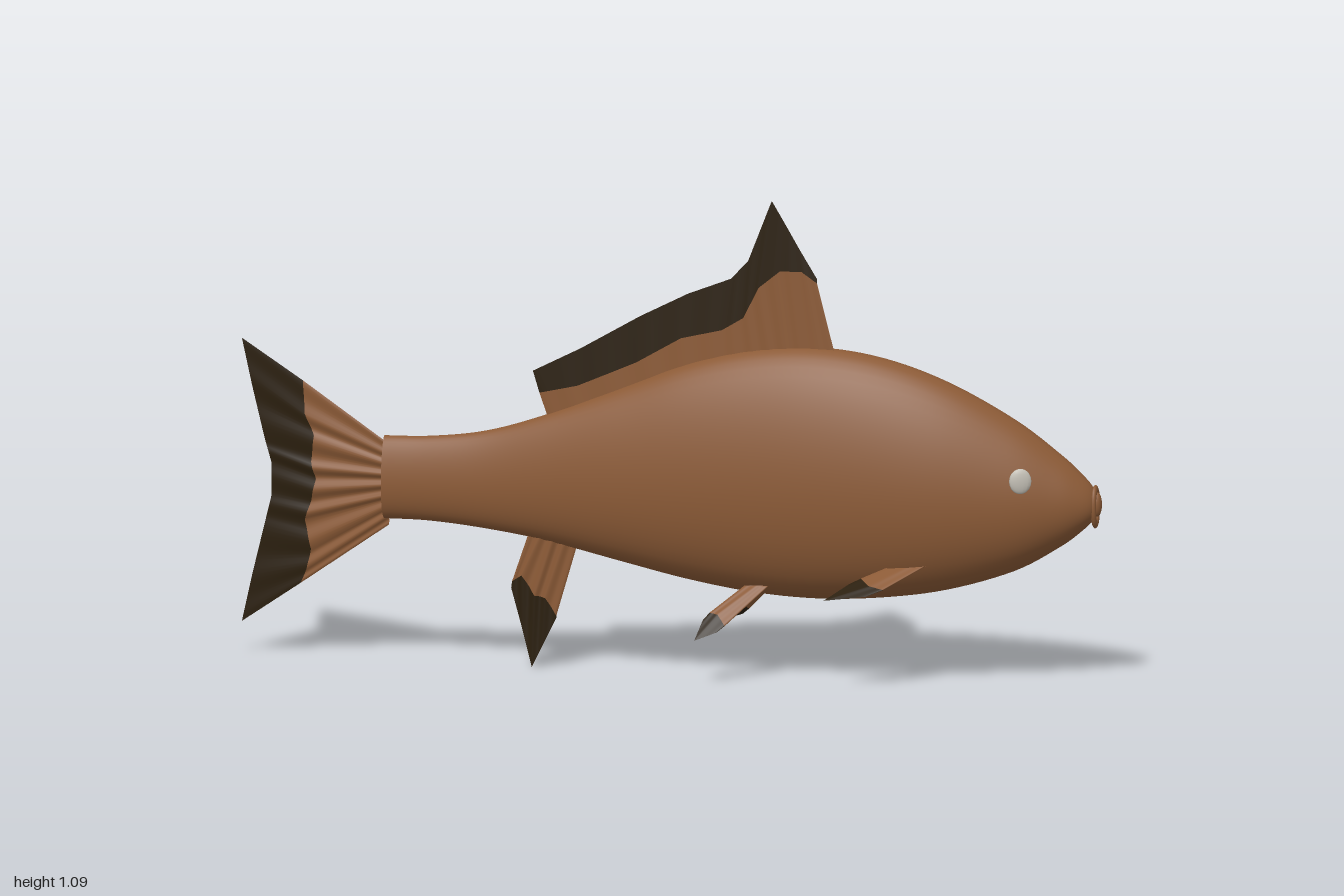
import * as THREE from 'three';

const mat = (name, color) => {
  const m = new THREE.MeshStandardMaterial({ color, side: THREE.DoubleSide });
  m.name = name;
  return m;
};

function surface(name, positions, index, material) {
  const g = new THREE.BufferGeometry();
  g.setAttribute('position', new THREE.Float32BufferAttribute(positions, 3));
  g.setIndex(index);
  g.computeVertexNormals();
  const mesh = new THREE.Mesh(g, material);
  mesh.name = name;
  return mesh;
}

// Point at v (0..1) along a polyline, each segment taking an equal share
function along(pts, v) {
  const s = v * (pts.length - 1), i = Math.min(Math.floor(s), pts.length - 2), f = s - i;
  return [0, 1].map(k => pts[i][k] + (pts[i + 1][k] - pts[i][k]) * f);
}

// Lens-thin fin: a root band and a dark edge band between three [x, y] lines
function fin(name, lines, zAt, thick, rays, ripple, mats) {
  const group = new THREE.Group(), n = 72;
  group.name = name;
  const half = [thick / 2, thick / 3, 0.0008];
  for (let band = 0; band < 2; band++) {
    const pos = [], idx = [];
    for (const side of [1, -1]) {
      const base = pos.length / 3;
      for (let j = 0; j <= n; j++) {
        const v = j / n, lens = Math.sqrt(Math.max(0, Math.sin(Math.PI * v)));
        for (let r = band; r < band + 2; r++) {
          const [x, y] = along(lines[r], v);
          const wave = r === 2 ? 0 : ripple * Math.cos(2 * Math.PI * rays * v) * lens;
          pos.push(x, y, zAt(x, y) + side * half[r] * lens + wave);
        }
      }
      for (let j = 0; j < n; j++) {
        const a = base + j * 2;
        idx.push(a, a + 1, a + 2, a + 1, a + 3, a + 2);
      }
    }
    group.add(surface(name + (band ? 'Edge' : 'Web'), pos, idx, mats[band]));
  }
  return group;
}

export function createModel() {
  const model = new THREE.Group();
  const brown = mat('scale brown', 0x8b5a36);
  const dark = mat('fin edge dark', 0x2b1f0e);
  const pale = mat('eye pale grey', 0xc4c0b6);
  const finMats = [brown, dark];

  // Body stations: x, top, bottom, centre z, half width
  const stations = [
    [-0.66, 0.525, 0.335, -0.017, 0.038], [-0.55, 0.529, 0.334, -0.011, 0.038],
    [-0.42, 0.547, 0.322, -0.005, 0.043], [-0.28, 0.59, 0.301, 0.002, 0.055],
    [-0.1, 0.66, 0.26, 0.005, 0.081], [0.05, 0.72, 0.226, 0.004, 0.1],
    [0.2, 0.757, 0.201, 0, 0.115], [0.35, 0.767, 0.191, -0.003, 0.123],
    [0.5, 0.747, 0.198, -0.007, 0.123], [0.65, 0.695, 0.22, -0.016, 0.115],
    [0.8, 0.612, 0.265, -0.034, 0.096], [0.9, 0.537, 0.32, -0.046, 0.07],
    [0.95, 0.492, 0.357, -0.051, 0.049], [0.98, 0.456, 0.388, -0.054, 0.027],
    [0.989, 0.42, 0.419, -0.055, 0.0005],
  ];
  const spline = pick => new THREE.CatmullRomCurve3(
    stations.map(s => new THREE.Vector3(...pick.map(k => s[k]))), false, 'catmullrom', 0.5);
  const profile = spline([0, 1, 2]), plan = spline([0, 3, 4]);

  // Egg-shaped rings, narrower along the back
  const N = 84, R = 48, pos = [], idx = [];
  for (let i = 0; i <= N; i++) {
    const p = profile.getPoint(i / N), q = plan.getPoint(i / N);
    for (let j = 0; j < R; j++) {
      const t = j / R * Math.PI * 2, c = Math.cos(t);
      pos.push(p.x, (p.y + p.z) / 2 + (p.y - p.z) / 2 * c,
        q.y + q.z * Math.sin(t) * (1 - 0.15 * c));
      if (i < N) {
        const a = i * R + j, b = i * R + (j + 1) % R;
        idx.push(a, b, a + R, b, b + R, a + R);
      }
    }
  }
  model.add(surface('body', pos, idx, brown));

  // Flat end of the tail stalk
  const capPos = pos.slice(0, R * 3).concat([-0.66, 0.43, -0.017]), capIdx = [];
  for (let j = 0; j < R; j++) capIdx.push(R, (j + 1) % R, j);
  model.add(surface('tailStalkEnd', capPos, capIdx, brown));

  // Tail fin, swept slightly to one side
  model.add(fin('tailFin', [
    [[-0.65, 0.505], [-0.65, 0.32]],
    [[-0.855, 0.64], [-0.85, 0.565], [-0.828, 0.515], [-0.835, 0.455], [-0.824, 0.415],
      [-0.835, 0.365], [-0.85, 0.32], [-0.835, 0.255], [-0.845, 0.21], [-0.86, 0.175]],
    [[-1, 0.73], [-0.975, 0.62], [-0.945, 0.5], [-0.93, 0.45], [-0.93, 0.37],
      [-0.945, 0.31], [-0.975, 0.19], [-1, 0.08]],
  ], x => -0.02 + (x + 0.66) * 0.1, 0.012, 8, 0.004, finMats));

  // Dorsal fin
  model.add(fin('dorsalFin', [
    [[-0.27, 0.57], [-0.19, 0.6], [-0.06, 0.65], [0.04, 0.69], [0.13, 0.72],
      [0.19, 0.73], [0.24, 0.74], [0.29, 0.74], [0.34, 0.745], [0.395, 0.74]],
    [[-0.295, 0.64], [-0.205, 0.66], [-0.07, 0.718], [0.035, 0.778], [0.13, 0.8],
      [0.18, 0.83], [0.215, 0.9], [0.265, 0.94], [0.315, 0.94], [0.35, 0.915]],
    [[-0.31, 0.69], [-0.2, 0.745], [-0.06, 0.825], [0.05, 0.88], [0.15, 0.918],
      [0.19, 0.96], [0.245, 1.1], [0.275, 1.05], [0.31, 0.99], [0.35, 0.925]],
  ], () => 0.006, 0.014, 12, 0.001, finMats));

  // Anal fin
  model.add(fin('analFin', [
    [[-0.315, 0.33], [-0.205, 0.3]],
    [[-0.358, 0.205], [-0.335, 0.22], [-0.305, 0.175], [-0.28, 0.17], [-0.255, 0.13]],
    [[-0.36, 0.19], [-0.335, 0.1], [-0.312, 0.01], [-0.285, 0.065], [-0.255, 0.125]],
  ], () => 0.008, 0.012, 4, 0.003, finMats));

  // Paired fins spread out and down to both sides
  for (const [side, label] of [[1, 'right'], [-1, 'left']]) {
    model.add(fin(label + 'PelvicFin', [
      [[0.195, 0.225], [0.25, 0.225]],
      [[0.125, 0.168], [0.145, 0.165], [0.165, 0.142]],
      [[0.112, 0.152], [0.1, 0.11], [0.148, 0.128]],
    ], (x, y) => 0.01 + side * (0.063 + (0.215 - y) * 0.82), 0.014, 2, 0.001, finMats));
    model.add(fin(label + 'PectoralFin', [
      [[0.53, 0.282], [0.62, 0.288]],
      [[0.48, 0.262], [0.505, 0.25], [0.54, 0.243]],
      [[0.455, 0.25], [0.41, 0.22], [0.505, 0.23]],
    ], (x, y) => 0.003 + side * (0.1 + (0.275 - y) * 1.76), 0.026, 2, 0.001, finMats));

    // Flattened eyes
    const eye = new THREE.Mesh(new THREE.SphereGeometry(0.027, 14, 10), pale);
    eye.name = label + 'Eye';
    eye.scale.set(0.95, 1.08, 0.3);
    eye.position.set(0.832, 0.485, side > 0 ? 0.048 : -0.122);
    eye.rotation.y = side > 0 ? 0.36 : -0.16;
    model.add(eye);
  }

  // Mouth: oval lip ring with a small tongue-like bulge inside
  const lip = new THREE.Mesh(new THREE.TorusGeometry(0.021, 0.006, 10, 32), brown);
  lip.name = 'lip';
  lip.rotation.y = Math.PI / 2;
  lip.scale.set(1, 1.85, 1);
  lip.position.set(0.983, 0.416, -0.055);
  const bulge = new THREE.Mesh(new THREE.SphereGeometry(0.014, 16, 12), brown);
  bulge.name = 'mouthBulge';
  bulge.scale.set(0.8, 2, 1);
  bulge.position.set(0.987, 0.421, -0.055);
  model.add(lip, bulge);

  return model;
}
